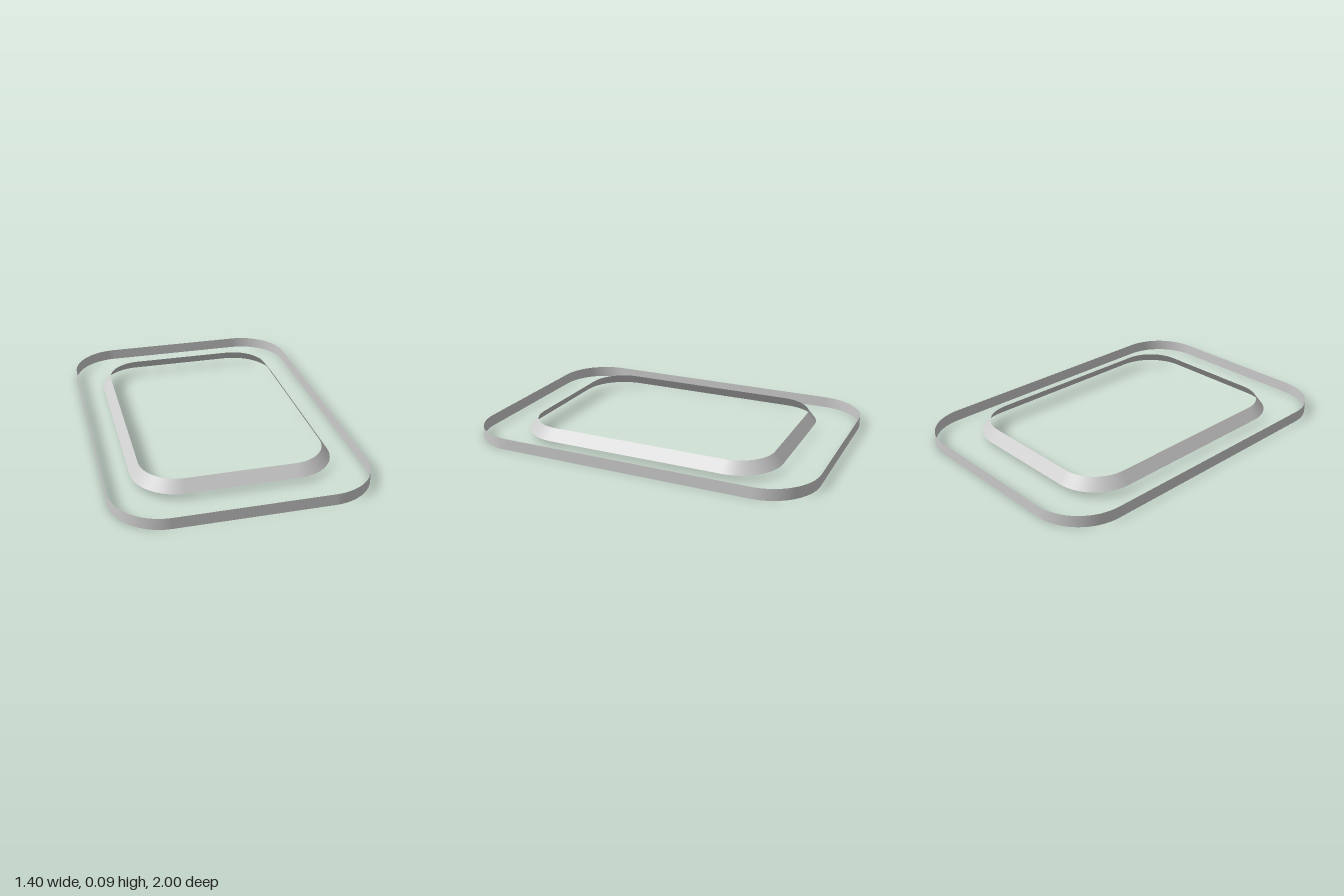
import * as THREE from 'three';

const CORNER_STEPS = 16;

// Rounded rectangle in the xz plane, as a closed ring of points at height y
function ring({ halfX, halfZ, radius, y }) {
  const points = [];
  const signs = [[1, 1], [-1, 1], [-1, -1], [1, -1]];
  signs.forEach(([sx, sz], corner) => {
    for (let i = 0; i <= CORNER_STEPS; i++) {
      const a = (corner + i / CORNER_STEPS) * Math.PI / 2;
      points.push(
        sx * (halfX - radius) + radius * Math.cos(a),
        y,
        sz * (halfZ - radius) + radius * Math.sin(a)
      );
    }
  });
  return points;
}

// Open strip joining a lower ring to an upper ring, facing outward
function band(name, lower, upper, material) {
  const bottom = ring(lower);
  const n = bottom.length / 3;
  const index = [];
  for (let i = 0; i < n; i++) {
    const j = (i + 1) % n;
    index.push(i, n + i, j, j, n + i, n + j);
  }
  const geometry = new THREE.BufferGeometry();
  geometry.setAttribute('position', new THREE.Float32BufferAttribute([...bottom, ...ring(upper)], 3));
  geometry.setIndex(index);
  geometry.computeVertexNormals();
  const mesh = new THREE.Mesh(geometry, material);
  mesh.name = name;
  return mesh;
}

export function createModel() {
  const group = new THREE.Group();
  group.name = 'roundedFrame';

  const grey = new THREE.MeshStandardMaterial({ color: 0xcccccc, side: THREE.DoubleSide });
  grey.name = 'light grey';

  // Upright outer rim
  const rim = { halfX: 0.7, halfZ: 1, radius: 0.28 };
  group.add(band('outerRim', { ...rim, y: 0 }, { ...rim, y: 0.065 }, grey));

  // Sloping inner bezel, narrower at the top
  group.add(band(
    'innerBezel',
    { halfX: 0.553, halfZ: 0.765, radius: 0.25, y: 0.03 },
    { halfX: 0.505, halfZ: 0.717, radius: 0.205, y: 0.093 },
    grey
  ));

  return group;
}
